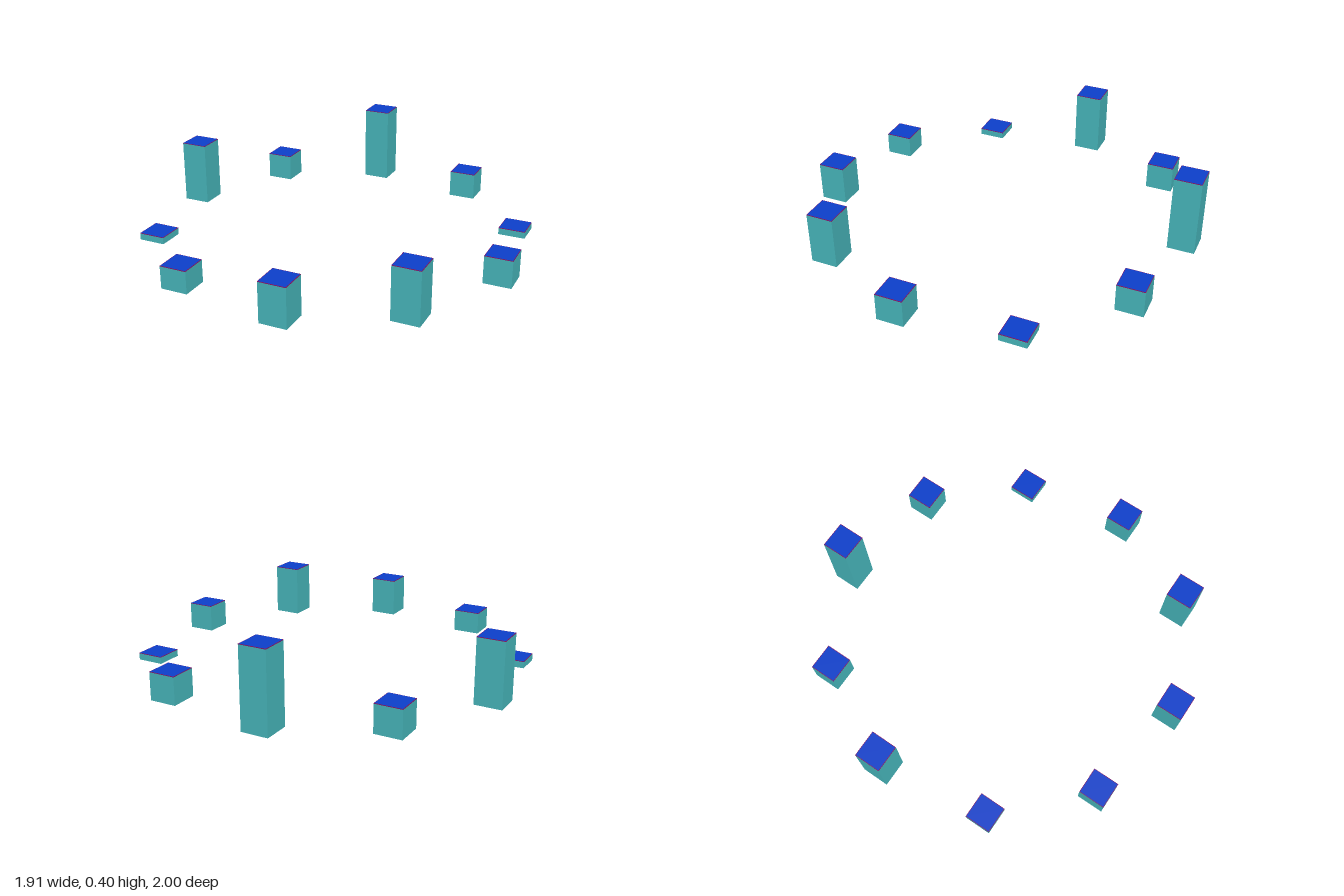
import * as THREE from 'three';

export function createModel() {
  const model = new THREE.Group();
  const teal = new THREE.MeshStandardMaterial({ color: 0x48b8bd });
  const blue = new THREE.MeshStandardMaterial({ color: 0x0d40cc });
  const magenta = new THREE.MeshStandardMaterial({ color: 0x8c1060 });

  const radius = 0.904;
  const side = 0.136;
  const rim = 0.003;

  // Column heights around the ring, starting at the front and turning towards +x
  const heights = [0.265, 0.14, 0.036, 0.14, 0.395, 0.14, 0.325, 0.036, 0.115, 0.2];

  heights.forEach((height, i) => {
    const angle = (i / heights.length) * Math.PI * 2;
    const column = new THREE.Group();
    column.name = `column${i + 1}`;
    column.position.set(Math.sin(angle) * radius, 0, Math.cos(angle) * radius);
    column.rotation.y = Math.PI / 4;

    const addBox = (name, width, bottom, top, material) => {
      const mesh = new THREE.Mesh(new THREE.BoxGeometry(width, top - bottom, width), material);
      mesh.name = name;
      mesh.position.y = (bottom + top) / 2;
      column.add(mesh);
    };

    // Square shaft, thin rim and blue top face
    addBox('shaft', side, 0, height - rim, teal);
    addBox('topRim', side, height - rim, height - 0.0005, magenta);
    addBox('topPanel', side - 0.005, height - rim, height, blue);
    model.add(column);
  });

  return model;
}
